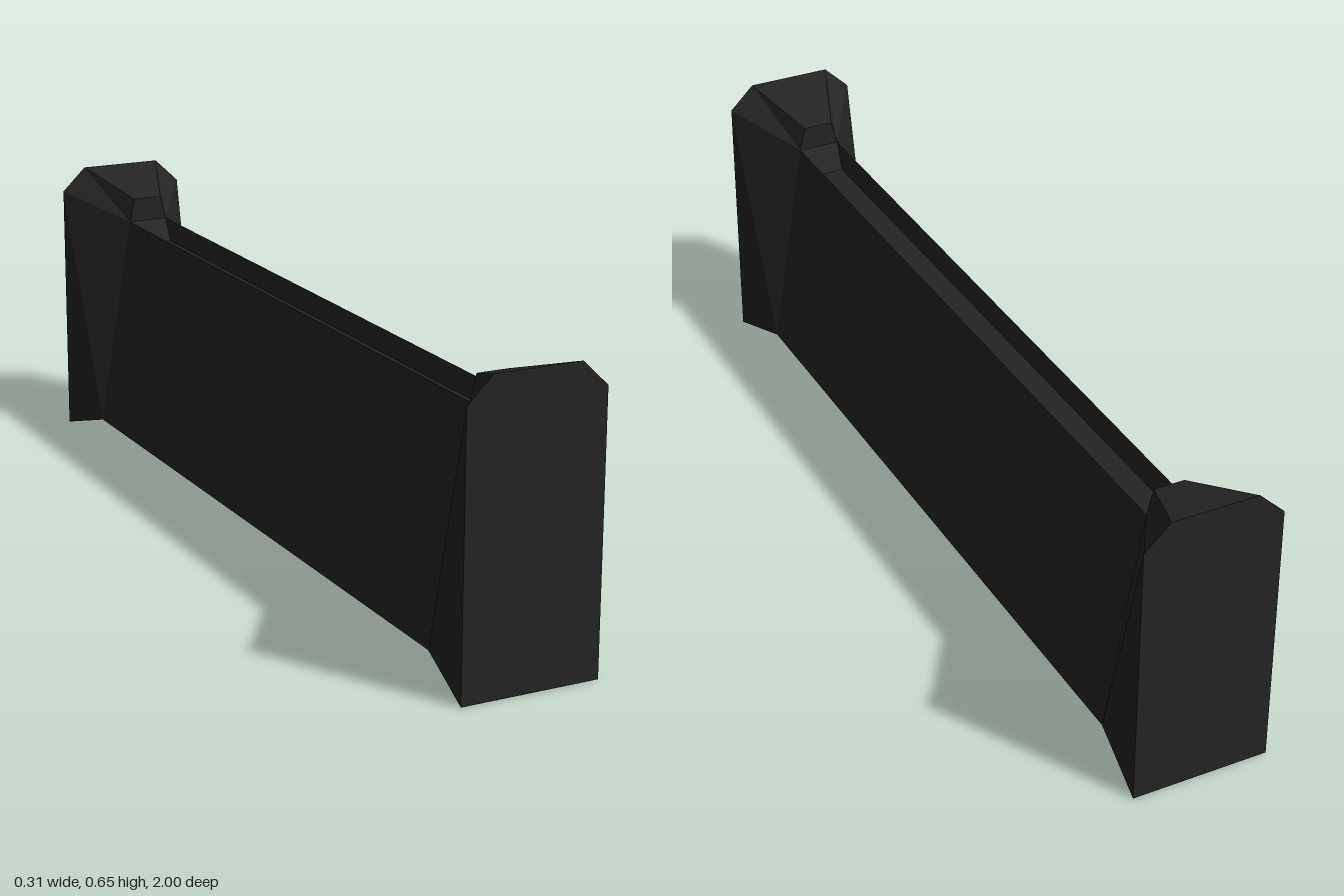
import * as THREE from 'three';

const END = 1, NECK = 0.83;

// Triangulated flat-faced geometry from quads [a, b, c, d]; flip picks the other diagonal
function quadGeometry(quads) {
  const pos = [];
  for (const { q: [a, b, c, d], flip } of quads) {
    const tris = flip ? [a, b, c, a, c, d] : [a, b, d, b, c, d];
    for (const p of tris) pos.push(...p);
  }
  const geo = new THREE.BufferGeometry();
  geo.setAttribute('position', new THREE.Float32BufferAttribute(pos, 3));
  geo.computeVertexNormals();
  return geo;
}

// Mirror a right-hand outline (bottom to top) into a closed counter-clockwise ring at depth z
function ring(right, z) {
  const left = right.map(([x, y]) => [-x, y]).reverse();
  return [...right, ...left].map(([x, y]) => [x, y, z]);
}

export function createModel() {
  const group = new THREE.Group();
  const dark = new THREE.MeshStandardMaterial({ color: 0x242424 });
  dark.name = 'charcoal';

  const add = (name, quads) => {
    const mesh = new THREE.Mesh(quadGeometry(quads), dark);
    mesh.name = name;
    group.add(mesh);
    return mesh;
  };

  // Long body: tapering sides and flat underside
  const section = [[0.13, 0.05], [0.048, 0.545]];
  const front = ring(section, NECK), back = ring(section, -NECK);
  add('body', [0, 2, 3].map((i) => {
    const j = (i + 1) % 4;
    return { q: [front[i], back[i], back[j], front[j]] };
  }));

  // Recessed channel along the top, with sloped walls and ends
  const rect = (x, y, z) => [[x, y, z], [x, y, -z], [-x, y, -z], [-x, y, z]];
  const rim = rect(0.048, 0.545, NECK), floor = rect(0.035, 0.5, 0.775);
  const channel = [{ q: floor }];
  for (let i = 0; i < 4; i++) {
    const j = (i + 1) % 4;
    channel.push({ q: [rim[i], rim[j], floor[j], floor[i]] });
  }
  add('topChannel', channel);

  // Flared end block: lofts from the body section out to a chamfered plate
  const inner = ring([[0.13, 0.05], [0.048, 0.545], [0.034, 0.6]], NECK);
  const outer = ring([[0.153, 0], [0.153, 0.597], [0.096, 0.652]], END);
  const block = [];
  for (let i = 0; i < 6; i++) {
    const j = (i + 1) % 6;
    block.push({ q: [outer[i], inner[i], inner[j], outer[j]], flip: i >= 3 });
  }
  block.push({ q: [inner[1], inner[4], inner[3], inner[2]] }); // shoulder above the channel
  block.push({ q: [outer[0], outer[1], outer[4], outer[5]] }); // end plate
  block.push({ q: [outer[1], outer[2], outer[3], outer[4]] });
  add('frontEndBlock', block);
  add('backEndBlock', block).rotation.y = Math.PI;

  return group;
}
